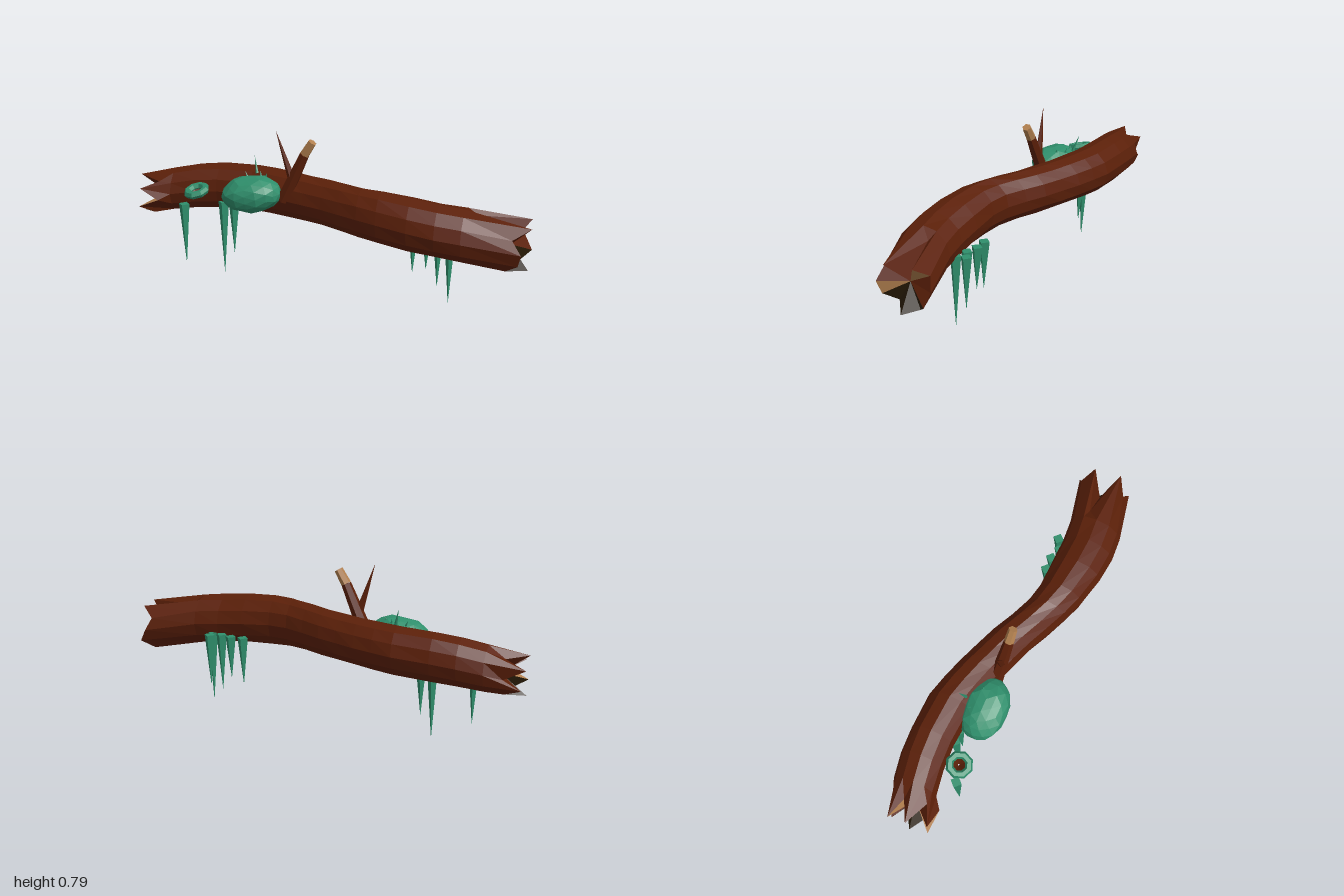
import * as THREE from 'three';

const mat = (name, color) => {
  const m = new THREE.MeshStandardMaterial({ color, flatShading: true });
  m.name = name;
  return m;
};

export function createModel() {
  const bark = mat('bark', 0x5c2009);
  bark.side = THREE.DoubleSide;
  const darkWood = mat('darkWood', 0x2c1e08);
  const paleWood = mat('paleWood', 0xb2804f);
  const moss = mat('moss', 0x2f8f6c);
  const group = new THREE.Group();

  let seed = 7;
  const rand = () => (seed = (seed * 16807) % 2147483647) / 2147483647;
  const add = (name, geometry, material, parent = group) => {
    const m = new THREE.Mesh(geometry, material);
    m.name = name;
    parent.add(m);
    return m;
  };
  // Tapered round piece between two points
  const rod = (name, from, to, r0, r1, sides, material) => {
    const a = new THREE.Vector3(...from), b = new THREE.Vector3(...to);
    const dir = b.clone().sub(a);
    const m = add(name, new THREE.CylinderGeometry(r1, r0, dir.length(), sides), material);
    m.position.copy(a).add(b).multiplyScalar(0.5);
    m.quaternion.setFromUnitVectors(new THREE.Vector3(0, 1, 0), dir.normalize());
    return m;
  };

  // Log: twelve-sided rings along an S-shaped line: x, centre y, centre z, half height, half depth
  const SIDES = 12;
  const stations = [
    [-0.97, 0.37, -0.1, 0.095, 0.105], [-0.82, 0.395, -0.14, 0.108, 0.106],
    [-0.7, 0.415, -0.156, 0.113, 0.107], [-0.58, 0.427, -0.16, 0.115, 0.108],
    [-0.4, 0.436, -0.148, 0.115, 0.11], [-0.3, 0.439, -0.122, 0.113, 0.11],
    [-0.2, 0.441, -0.09, 0.112, 0.108], [-0.1, 0.443, -0.053, 0.112, 0.106],
    [0, 0.445, -0.012, 0.112, 0.104], [0.1, 0.447, 0.036, 0.115, 0.102],
    [0.2, 0.448, 0.08, 0.12, 0.101], [0.3, 0.446, 0.109, 0.123, 0.11],
    [0.45, 0.436, 0.13, 0.123, 0.124], [0.58, 0.424, 0.137, 0.123, 0.128],
    [0.7, 0.412, 0.129, 0.123, 0.13], [0.98, 0.37, 0.076, 0.123, 0.13],
  ];
  // Splinter tips and notches around each broken end
  const leftJag = [-0.9, -1, -0.9, -1, -0.88, -0.97, -0.87, -0.98, -0.91, -0.99, -0.9, -0.98];
  const rightJag = [0.95, 0.92, 0.985, 0.75, 1, 0.92, 0.965, 0.95, 0.89, 0.985, 0.93, 0.985];
  const last = stations.length - 1;
  const pos = [];
  stations.forEach(([x, y, z, ry, rz], i) => {
    for (let k = 0; k < SIDES; k++) {
      const s = (k / SIDES) * Math.PI * 2;
      const n = 0.98 + rand() * 0.04;
      const px = i === 0 ? leftJag[k] : i === last ? rightJag[k] : x;
      pos.push(px, y + Math.sin(s) * ry * n, z - Math.cos(s) * rz * n);
    }
  });
  const leftCentre = pos.push(-0.87, 0.375, -0.115) / 3 - 1;
  const rightCentre = pos.push(0.9, 0.37, 0.076) / 3 - 1;

  // Face lists for bark, dark wood and pale wood
  const faces = [[], [], []];
  const capColour = [0, 2, 0, 0, 0, 0, 2, 1, 1, 1, 1, 0];
  for (let k = 0; k < SIDES; k++) {
    const k1 = (k + 1) % SIDES;
    for (let i = 0; i < last; i++) {
      const a = i * SIDES + k, b = i * SIDES + k1;
      const c = a + SIDES, d = b + SIDES;
      const rotten = i < 4 && (k === 8 || k === 9);
      faces[rotten ? 1 : 0].push(a, b, d, a, d, c);
    }
    faces[capColour[k]].push(rightCentre, last * SIDES + k, last * SIDES + k1);
    faces[capColour[k]].push(leftCentre, k1, k);
  }
  const logGeo = new THREE.BufferGeometry();
  logGeo.setAttribute('position', new THREE.Float32BufferAttribute(pos, 3));
  logGeo.setIndex(faces.flat());
  let start = 0;
  faces.forEach((f, i) => {
    logGeo.addGroup(start, f.length, i);
    start += f.length;
  });
  logGeo.computeVertexNormals();
  add('log', logGeo, [bark, darkWood, paleWood]);

  // Snapped branch with a bare end, and a thin twig
  rod('branch', [-0.21, 0.44, -0.005], [-0.096, 0.685, 0.014], 0.036, 0.024, 6, bark);
  rod('branchEnd', [-0.096, 0.685, 0.014], [-0.056, 0.75, 0.017], 0.024, 0.021, 6, paleWood);
  rod('twig', [-0.155, 0.53, 0.005], [-0.235, 0.787, 0.018], 0.022, 0.0005, 5, bark);

  // Faceted moss clump
  const clumpGeo = new THREE.IcosahedronGeometry(1, 2);
  const p = clumpGeo.attributes.position;
  for (let i = 0; i < p.count; i++) {
    const [x, y, z] = [p.getX(i), p.getY(i), p.getZ(i)];
    const n = 1 + 0.05 * Math.sin(x * 9 + y * 5) * Math.cos(z * 8 + y * 4);
    p.setXYZ(i, x * n, y * n, z * n);
  }
  clumpGeo.computeVertexNormals();
  const clump = add('mossClump', clumpGeo, moss);
  clump.scale.set(0.153, 0.09, 0.112);
  clump.position.set(-0.367, 0.459, 0.01);
  clump.rotation.z = 0.13;

  // Small blades growing from the clump
  [
    [-0.37, 0.535, -0.08, -0.39, 0.615, -0.105], [-0.34, 0.52, -0.05, -0.345, 0.557, -0.06],
    [-0.4, 0.51, -0.04, -0.42, 0.55, -0.05], [-0.31, 0.53, -0.02, -0.3, 0.558, -0.025],
  ].forEach(([a, b, c, d, e, f]) => rod('mossBlade', [a, b, c], [d, e, f], 0.008, 0.0004, 4, moss));

  // Knot hole: mossy ring around a bark hollow
  const knot = new THREE.Group();
  knot.name = 'knot';
  knot.position.set(-0.655, 0.446, 0.01);
  knot.rotation.set(0.22, 0, 0.18);
  group.add(knot);
  add('knotRing', new THREE.TorusGeometry(0.047, 0.019, 6, 8), moss, knot).rotation.x = Math.PI / 2;
  add('knotHollow', new THREE.CylinderGeometry(0.044, 0.004, 0.045, 8, 1, true), bark, knot).position.y = -0.015;

  // Hanging moss spikes: top x, top z, tip x, tip y, tip z
  [
    [-0.72, 0.02, -0.718, 0.063, 0.022], [-0.545, -0.066, -0.545, 0, -0.057],
    [-0.492, -0.07, -0.492, 0.108, -0.062], [0.43, -0.018, 0.43, 0.136, -0.012],
    [0.495, -0.018, 0.495, 0.16, -0.012], [0.553, 0.002, 0.555, 0.087, 0.01],
    [0.605, -0.025, 0.605, 0.115, -0.02], [0.612, 0.025, 0.615, 0.021, 0.03],
  ].forEach(([x, z, tx, ty, tz]) => rod('mossSpike', [tx, ty, tz], [x, 0.375, z], 0.0004, 0.028, 4, moss));

  return group;
}
